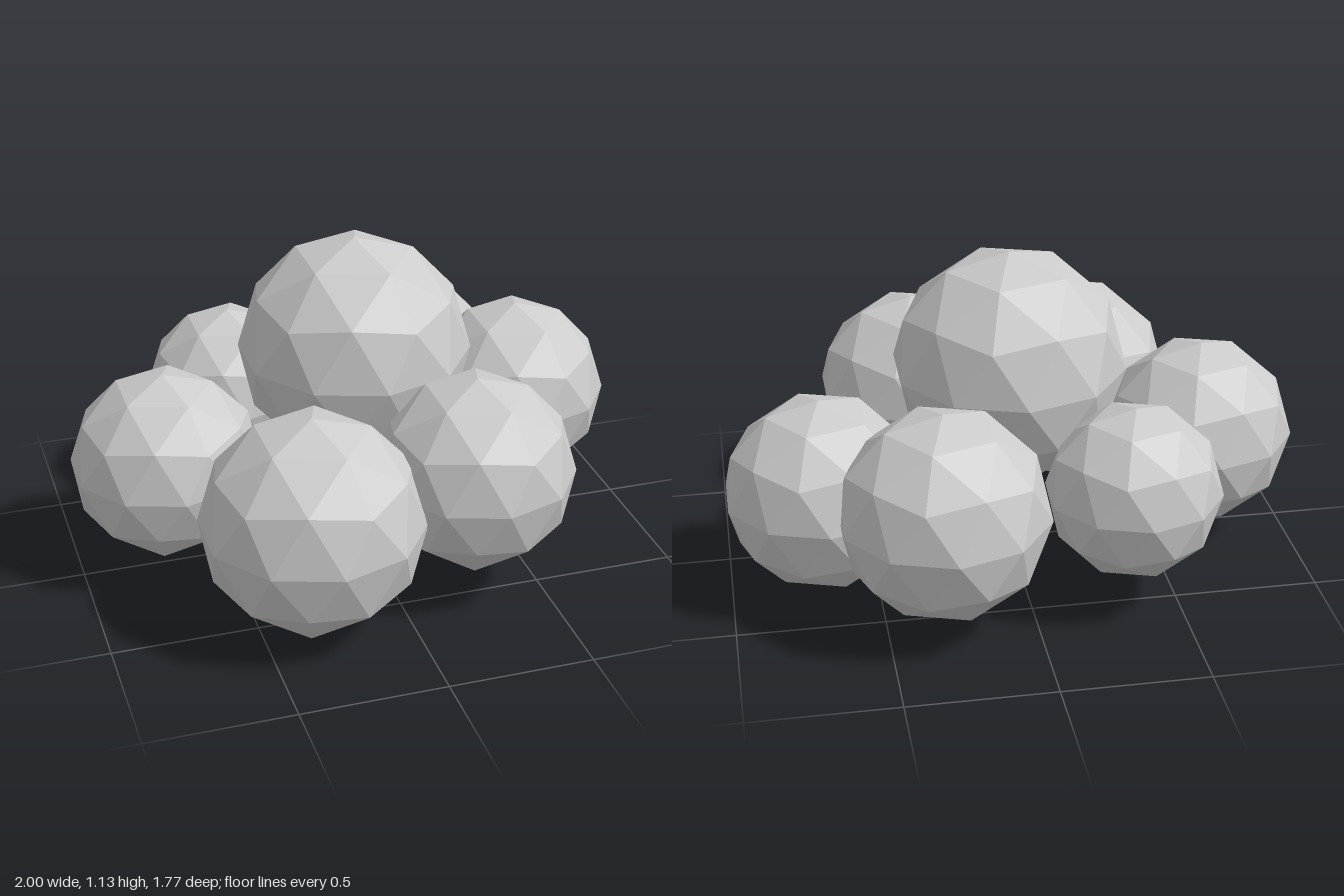
import * as THREE from 'three';

// Faceted unit ball: a subdivided icosahedron standing on one of its corners
function makeBallGeometry() {
  const geometry = new THREE.IcosahedronGeometry(1, 1);
  geometry.rotateX(-Math.atan((1 + Math.sqrt(5)) / 2)); // corner to the top
  geometry.rotateY(Math.PI / 2); // upper ring corner towards +x
  geometry.computeVertexNormals();
  return geometry;
}

// Puffs of the cluster: name, centre x, y, z and radius
const PUFFS = [
  ['topPuff', 0.005, 0.724, -0.055, 0.406],
  ['frontRightPuff', -0.307, 0.382, 0.5, 0.382],
  ['frontLeftPuff', 0.285, 0.442, 0.428, 0.343],
  ['leftPuff', 0.677, 0.378, -0.235, 0.337],
  ['backLeftPuff', 0.299, 0.413, -0.524, 0.361],
  ['rightPuff', -0.686, 0.395, -0.022, 0.331],
  ['backRightPuff', -0.347, 0.42, -0.48, 0.3],
];

export function createModel() {
  const model = new THREE.Group();
  model.name = 'puffCluster';
  const geometry = makeBallGeometry();
  const material = new THREE.MeshStandardMaterial({ color: 0xcccccc, flatShading: true });

  for (const [name, x, y, z, radius] of PUFFS) {
    const puff = new THREE.Mesh(geometry, material);
    puff.name = name;
    puff.position.set(x, y, z);
    puff.scale.setScalar(radius);
    model.add(puff);
  }
  return model;
}
